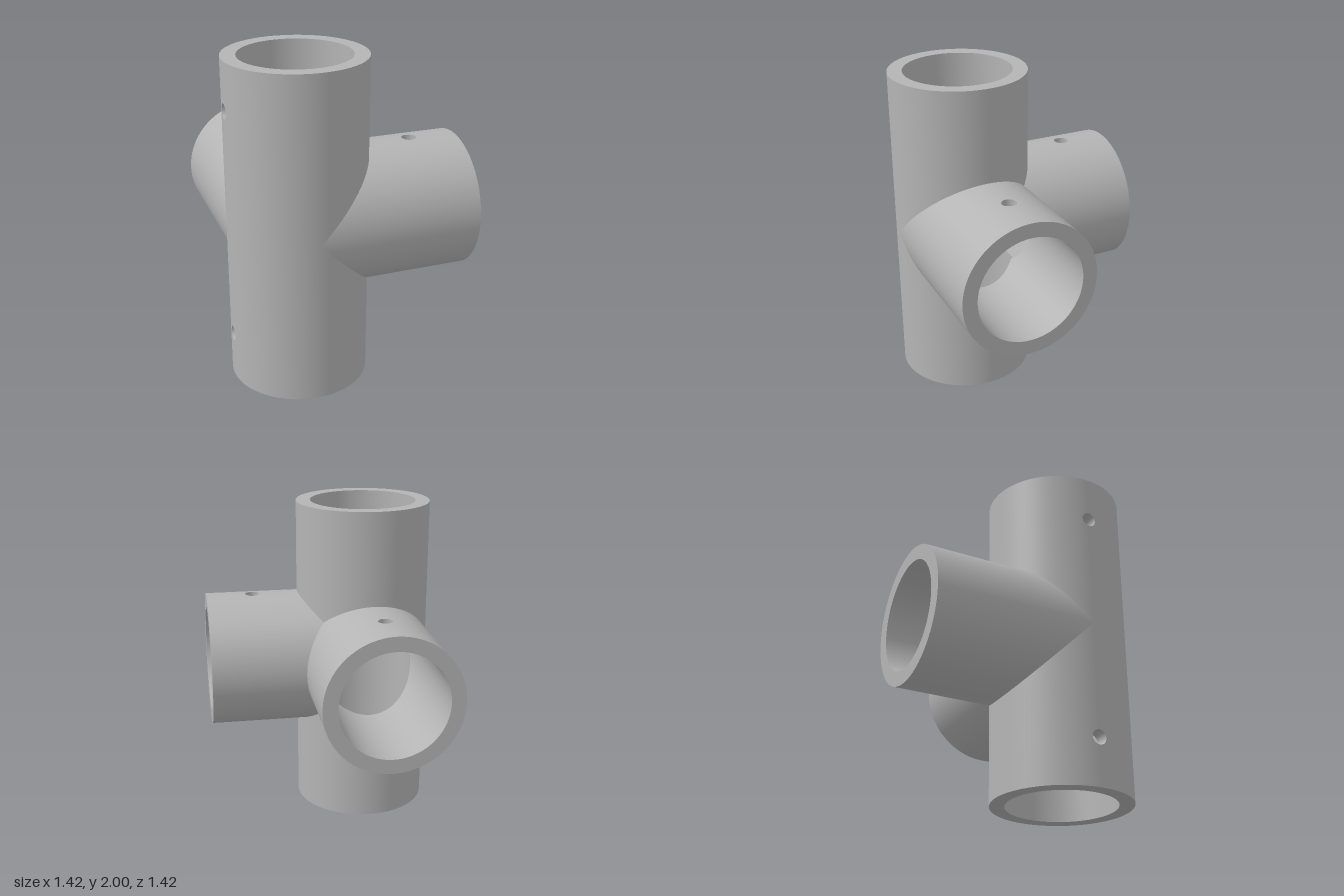
import * as THREE from 'three';

const R = 0.42, r = 0.33;             // outer and bore radius
const LENGTH = 1;                     // arm length from the joint centre
const HOLE_AT = 0.71, HOLE_R = 0.045; // screw hole position along an arm, radius
const SEG = 96, HALF = 3;             // sides of a pipe, half width of the hole window in sides
const STEP = (Math.PI * 2) / SEG, WINDOW = 0.08;

const V = (x, y, z) => new THREE.Vector3(x, y, z);

// Each arm has an axis and the side its screw hole is drilled on
const ARMS = [
  { name: 'upperPipe', axis: V(0, 1, 0), side: V(-1, 0, 0) },
  { name: 'lowerPipe', axis: V(0, -1, 0), side: V(-1, 0, 0) },
  { name: 'leftBranch', axis: V(1, 0, 0), side: V(0, 1, 0) },
  { name: 'backBranch', axis: V(0, 0, -1), side: V(0, 1, 0) },
];

// Collects quads of {p, n} corners into one geometry
class Quads {
  constructor(flip = false) { this.flip = flip; this.pos = []; this.nor = []; }
  add(a, b, c, d) {
    const order = this.flip ? [a, c, b, a, d, c] : [a, b, c, a, c, d];
    for (const { p, n } of order) {
      this.pos.push(p.x, p.y, p.z);
      this.nor.push(n.x, n.y, n.z);
    }
  }
  mesh(name, material) {
    const g = new THREE.BufferGeometry();
    g.setAttribute('position', new THREE.Float32BufferAttribute(this.pos, 3));
    g.setAttribute('normal', new THREE.Float32BufferAttribute(this.nor, 3));
    const m = new THREE.Mesh(g, material);
    m.name = name;
    return m;
  }
}

// Counter-clockwise walk round the square from -1 to 1
function squareWalk() {
  const pts = [], n = HALF * 2;
  for (let k = 0; k < 4; k++) {
    for (let i = 0; i < n; i++) {
      const s = -1 + (2 * i) / n;
      pts.push([[1, s], [-s, 1], [-1, -s], [s, -1]][k]);
    }
  }
  pts.push(pts[0]);
  return pts;
}

function makeArm({ name, axis, side }, material) {
  const across = axis.clone().cross(side);
  const radial = (th) => side.clone().multiplyScalar(Math.cos(th)).addScaledVector(across, Math.sin(th));
  const point = (rho, th, t) => radial(th).multiplyScalar(rho).addScaledVector(axis, t);

  // Mitre: an equal pipe wall starts where it leaves every other arm
  const start = (rho, th) => {
    const p = point(rho, th, 0);
    return Math.max(0, ...ARMS.map((a) => (a.axis === axis ? 0 : p.dot(a.axis))));
  };
  const walk = squareWalk();
  const rimPoint = (rho, [u, v]) => {
    const a = Math.atan2(v, u);
    return [Math.asin((HOLE_R * Math.cos(a)) / rho), HOLE_AT + HOLE_R * Math.sin(a)];
  };

  // Cylindrical wall with a round hole; inward facing for the bore
  function wall(rho, inward, label) {
    const q = new Quads(inward);
    const at = (th, t) => ({ p: point(rho, th, t), n: radial(th).multiplyScalar(inward ? -1 : 1) });
    for (let i = -SEG / 2; i < SEG / 2; i++) {
      const a = i * STEP, b = (i + 1) * STEP;
      const strip = (a0, b0, a1, b1) => q.add(at(a, a0), at(b, b0), at(b, b1), at(a, a1));
      const sa = start(rho, a), sb = start(rho, b);
      if (i >= -HALF && i < HALF) {
        strip(sa, sb, HOLE_AT - WINDOW, HOLE_AT - WINDOW);
        strip(HOLE_AT + WINDOW, HOLE_AT + WINDOW, LENGTH, LENGTH);
      } else {
        strip(sa, sb, LENGTH, LENGTH);
      }
    }
    const corner = ([u, v]) => at(u * HALF * STEP, HOLE_AT + v * WINDOW);
    for (let j = 0; j < walk.length - 1; j++) {
      const w0 = walk[j], w1 = walk[j + 1];
      q.add(at(...rimPoint(rho, w0)), corner(w0), corner(w1), at(...rimPoint(rho, w1)));
    }
    return q.mesh(label, material);
  }

  // Flat annular end face
  const end = new Quads();
  const e = (rho, th) => ({ p: point(rho, th, LENGTH), n: axis });
  for (let i = 0; i < SEG; i++) {
    const a = i * STEP, b = a + STEP;
    end.add(e(r, a), e(R, a), e(R, b), e(r, b));
  }

  // Lining of the screw hole through the wall
  const lining = new Quads();
  const l = (rho, w) => {
    const a = Math.atan2(w[1], w[0]);
    const n = across.clone().multiplyScalar(-Math.cos(a)).addScaledVector(axis, -Math.sin(a));
    return { p: point(rho, ...rimPoint(rho, w)), n };
  };
  for (let j = 0; j < walk.length - 1; j++) {
    const w0 = walk[j], w1 = walk[j + 1];
    lining.add(l(r, w0), l(R, w0), l(R, w1), l(r, w1));
  }

  const arm = new THREE.Group();
  arm.name = name;
  arm.add(
    wall(R, false, 'outerWall'),
    wall(r, true, 'bore'),
    end.mesh('endFace', material),
    lining.mesh('screwHole', material),
  );
  return arm;
}

export function createModel() {
  const grey = new THREE.MeshStandardMaterial({ color: 0xb4b4b4 });
  grey.name = 'grey';
  const model = new THREE.Group();
  model.name = 'pipeConnector';
  const joint = new THREE.Group();
  joint.name = 'joint';
  joint.position.set(-0.29, 1, 0.29);
  for (const arm of ARMS) joint.add(makeArm(arm, grey));
  model.add(joint);
  return model;
}
